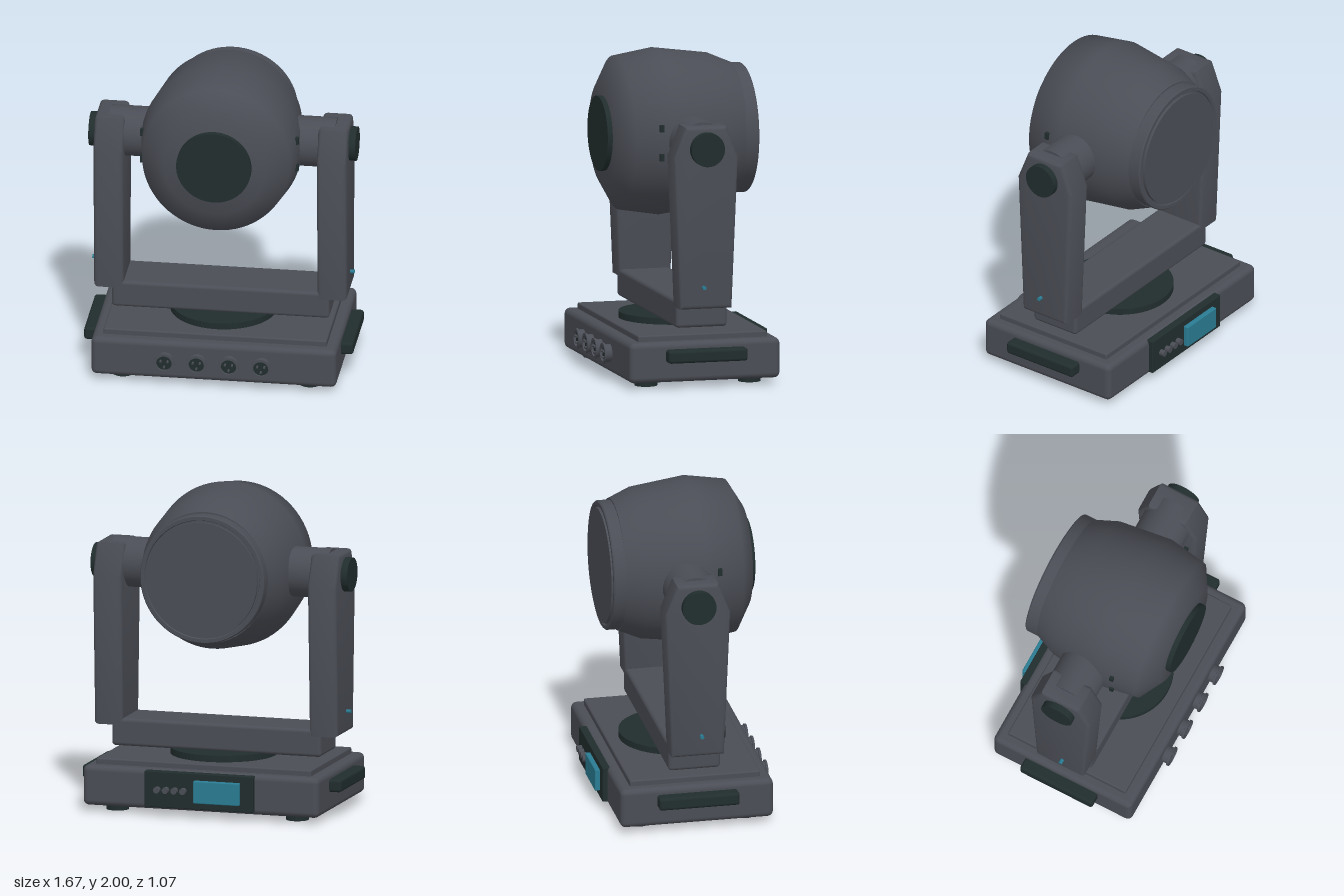
import * as THREE from 'three';
import { toCreasedNormals } from 'three/addons/utils/BufferGeometryUtils.js';
import { RoundedBoxGeometry } from 'three/addons/geometries/RoundedBoxGeometry.js';

const HEAD_Y = 1.485;

export function createModel() {
  const model = new THREE.Group();
  const paint = (name, color) => {
    const m = new THREE.MeshStandardMaterial({ color });
    m.name = name;
    return m;
  };
  const grey = paint('body grey', 0x4a4d55);
  const dark = paint('dark trim', 0x212d2d);
  const blue = paint('display blue', 0x2a7c93);

  const add = (name, geometry, material, x, y, z, parent = model) => {
    const mesh = new THREE.Mesh(geometry, material);
    mesh.name = name;
    mesh.position.set(x, y, z);
    parent.add(mesh);
    return mesh;
  };
  const rounded = (w, h, d, r) => new RoundedBoxGeometry(w, h, d, 3, r);
  const cylX = (r, len, n = 40) => new THREE.CylinderGeometry(r, r, len, n).rotateZ(Math.PI / 2);
  const cylZ = (r, len, n = 40) => new THREE.CylinderGeometry(r, r, len, n).rotateX(Math.PI / 2);
  // Profile of [radius, z] pairs, turned about the z axis
  const turnedZ = (pts, n, crease) => {
    const g = new THREE.LatheGeometry(pts.map(([r, z]) => new THREE.Vector2(r, z)), n);
    return toCreasedNormals(g.rotateX(Math.PI / 2), crease);
  };

  // Base with stepped top, feet and turntable
  add('base', rounded(1.52, 0.25, 0.96, 0.035), grey, 0, 0.163, 0);
  add('baseTopPlate', rounded(1.385, 0.08, 0.82, 0.01), grey, 0, 0.285, 0);
  for (const x of [-0.58, 0.58]) {
    for (const z of [-0.33, 0.33]) {
      add('foot', new THREE.CylinderGeometry(0.07, 0.07, 0.05, 24), dark, x, 0.025, z);
    }
  }
  add('turntable', new THREE.CylinderGeometry(0.33, 0.33, 0.045, 64), dark, 0, 0.343, 0);

  // Front sockets: flanged shell, recessed face, pins
  const shell = turnedZ([
    [0.055, -0.03], [0.055, 0.035], [0.064, 0.037], [0.064, 0.05],
    [0.048, 0.05], [0.048, 0.03], [0, 0.03],
  ], 28, 0.6);
  for (const x of [-0.3, -0.1, 0.1, 0.3]) {
    const socket = new THREE.Group();
    socket.name = 'socket';
    socket.position.set(x, 0.165, 0.48);
    model.add(socket);
    add('socketShell', shell, grey, 0, 0, 0, socket);
    add('socketFace', cylZ(0.048, 0.008, 28), dark, 0, 0, 0.031, socket);
    for (const a of [0.5, 2.64, 4.71]) {
      add('socketPin', cylZ(0.007, 0.02, 8), grey, Math.cos(a) * 0.025, Math.sin(a) * 0.025, 0.042, socket);
    }
  }

  // Rear control panel
  add('controlPanel', rounded(0.7, 0.225, 0.05, 0.006), dark, 0, 0.17, -0.485);
  add('display', rounded(0.295, 0.14, 0.04, 0.006), blue, -0.12, 0.17, -0.52);
  for (let i = 0; i < 4; i++) {
    add('panelButton', cylZ(0.02, 0.04, 16), grey, 0.097 + i * 0.056, 0.17, -0.522);
  }

  // Yoke crossbar
  add('yokeBar', rounded(1.35, 0.172, 0.325, 0.022), grey, 0, 0.446, 0);

  // Yoke arm: side outline extruded across x
  const outline = new THREE.Shape([
    [-0.165, 0.49], [0.165, 0.49], [0.205, 1.43], [0.13, 1.622], [-0.13, 1.622], [-0.205, 1.43],
  ].map(([z, y]) => new THREE.Vector2(z, y)));
  const armGeometry = toCreasedNormals(new THREE.ExtrudeGeometry(outline, {
    depth: 0.135, bevelEnabled: true, bevelSize: 0.025, bevelThickness: 0.025, bevelOffset: -0.025, bevelSegments: 3,
  }).translate(0, 0, -0.0675).rotateY(Math.PI / 2), 0.6);

  for (const side of [-1, 1]) {
    add('yokeArm', armGeometry, grey, side * 0.693, 0, 0);
    add('pivotNeck', cylX(0.155, 0.26), grey, side * 0.57, HEAD_Y, 0);
    add('pivotCap', cylX(0.106, 0.06), dark, side * 0.798, HEAD_Y, 0);
    add('statusLight', cylX(0.012, 0.04, 12), blue, side * 0.793, 0.625, 0.02);
    add('carryHandle', rounded(0.1, 0.08, 0.505, 0.018), dark, side * 0.785, 0.205, 0);
    for (const y of [1.575, 1.395]) {
      add('headVent', new THREE.BoxGeometry(0.03, 0.045, 0.025), dark, side * 0.476, y, 0.2);
    }
  }

  // Head: slightly narrow barrel about the z axis
  const head = new THREE.Group();
  head.name = 'head';
  head.position.y = HEAD_Y;
  model.add(head);
  const barrel = add('headShell', turnedZ([
    [0, -0.37], [0.41, -0.37], [0.47, -0.23], [0.515, 0.11], [0.475, 0.355], [0.325, 0.443], [0, 0.443],
  ], 72, 1.1), grey, 0, 0, 0, head);
  barrel.scale.x = 0.968;
  add('frontDisc', cylZ(0.232, 0.05, 64), dark, 0, 0, 0.45, head);

  // Lens collar and lens at the rear
  add('lensCollar', turnedZ([
    [0, -0.437], [0.368, -0.437], [0.372, -0.447], [0.394, -0.447], [0.4, -0.44], [0.4, -0.362], [0, -0.362],
  ], 72, 0.6), grey, 0, 0, 0, head);
  add('lens', cylZ(0.358, 0.025, 72), grey, 0, 0, -0.443, head);

  return model;
}
